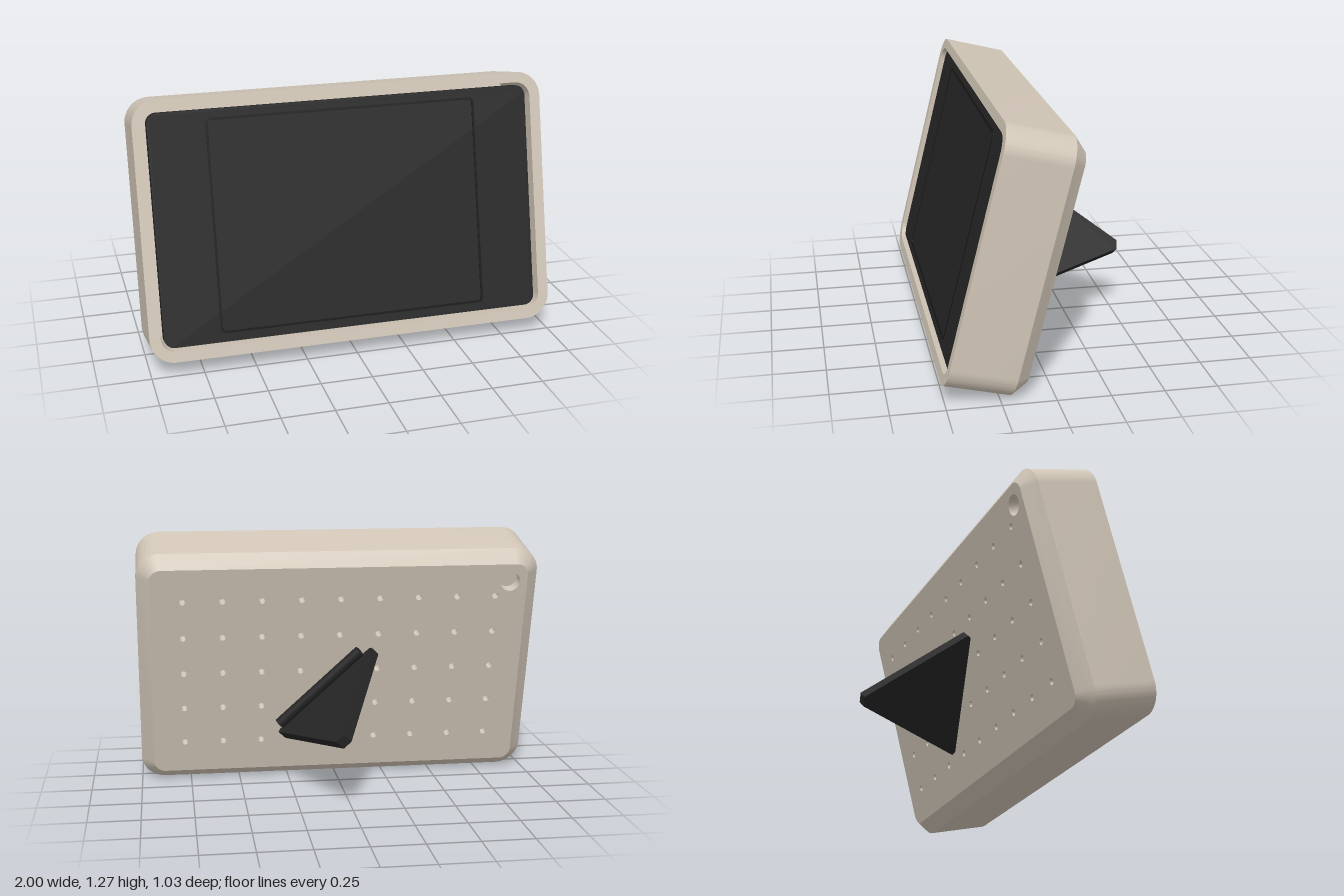
import * as THREE from 'three';
import { toCreasedNormals } from 'three/addons/utils/BufferGeometryUtils.js';

const W = 2, H = 1.23;        // outer width and height
const DEPTH = 0.314;          // straight part of the housing
const CHAMFER = 0.063;        // sloped edge at the back
const TILT = 0.242;           // lean-back angle

// Rounded rectangle, centred on x, spanning y0..y1
function roundRect(path, halfW, y0, y1, r) {
  path.moveTo(halfW, y0 + r);
  path.lineTo(halfW, y1 - r);
  path.absarc(halfW - r, y1 - r, r, 0, Math.PI / 2);
  path.absarc(-halfW + r, y1 - r, r, Math.PI / 2, Math.PI);
  path.absarc(-halfW + r, y0 + r, r, Math.PI, Math.PI * 1.5);
  path.absarc(halfW - r, y0 + r, r, Math.PI * 1.5, Math.PI * 2);
  path.closePath();
  return path;
}

// Extrude a shape from zBack forward
function slab(shape, depth, zBack, curveSegments = 12) {
  const g = new THREE.ExtrudeGeometry(shape, { depth, bevelEnabled: false, curveSegments });
  g.translate(0, 0, zBack);
  return toCreasedNormals(g, 0.5);
}

// Corner-matched outline used for the sloped back edge
function outline(inset, r, n = 12) {
  const pts = [];
  const hx = W / 2 - inset - r, hy = H / 2 - inset - r;
  [[1, 1], [-1, 1], [-1, -1], [1, -1]].forEach(([sx, sy], k) => {
    for (let i = 0; i <= n; i++) {
      const a = (k + i / n) * Math.PI / 2;
      pts.push([sx * hx + r * Math.cos(a), H / 2 + sy * hy + r * Math.sin(a)]);
    }
  });
  return pts;
}

function chamferGeometry() {
  const a = outline(0, 0.12), b = outline(CHAMFER, 0.057);
  const pos = [], idx = [], n = a.length;
  a.forEach((p, i) => pos.push(p[0], p[1], -DEPTH, b[i][0], b[i][1], -DEPTH - CHAMFER));
  for (let i = 0; i < n; i++) {
    const p = 2 * i, q = 2 * ((i + 1) % n);
    idx.push(p, p + 1, q, q, p + 1, q + 1);
  }
  const g = new THREE.BufferGeometry();
  g.setAttribute('position', new THREE.Float32BufferAttribute(pos, 3));
  g.setIndex(idx);
  return toCreasedNormals(g, 0.5);
}

export function createModel() {
  const mat = (name, color, side = THREE.FrontSide) => {
    const m = new THREE.MeshStandardMaterial({ color, side });
    m.name = name;
    return m;
  };
  const beige = mat('beige housing', 0xd0c5b6, THREE.DoubleSide);
  const dark = mat('dark panel', 0x252525);
  const black = mat('black groove', 0x151515);

  const model = new THREE.Group();
  model.name = 'tabletDisplay';
  const body = new THREE.Group();
  body.name = 'tiltedBody';
  body.position.set(0, 0.076, 0.51);
  body.rotation.x = -TILT;
  model.add(body);

  const add = (parent, name, geometry, material) => {
    const m = new THREE.Mesh(geometry, material);
    m.name = name;
    parent.add(m);
    return m;
  };

  // Housing frame with front opening
  const frame = roundRect(new THREE.Shape(), W / 2, 0, H, 0.12);
  frame.holes.push(roundRect(new THREE.Path(), 0.948, 0.05, H - 0.05, 0.075));
  add(body, 'housingFrame', slab(frame, DEPTH, -DEPTH), beige);
  add(body, 'backChamfer', chamferGeometry(), beige);

  // Back plate with vent grid and one larger corner hole
  const back = roundRect(new THREE.Shape(), W / 2 - CHAMFER, CHAMFER, H - CHAMFER, 0.057);
  const hole = (x, y, r) => back.holes.push(new THREE.Path().absarc(x, y, r, 0, Math.PI * 2, true));
  for (let row = 0; row < 5; row++)
    for (let col = 0; col < 9; col++)
      hole((col - 4) * 0.195, H / 2 + (row - 2) * 0.193, 0.016);
  hole(-0.85, 1.075, 0.05);
  add(body, 'backPlate', slab(back, CHAMFER, -DEPTH - CHAMFER, 8), beige);

  // Floor behind the vents
  const floor = new THREE.ShapeGeometry(roundRect(new THREE.Shape(), 0.96, 0.04, H - 0.04, 0.08));
  floor.translate(0, 0, -DEPTH + 0.005);
  add(body, 'innerFloor', floor, beige);

  // Recessed front panel and its fine rectangular groove
  const panel = roundRect(new THREE.Shape(), 0.93, 0.065, H - 0.065, 0.05);
  add(body, 'frontPanel', slab(panel, 0.05, -0.07), dark);
  const groove = roundRect(new THREE.Shape(), 0.66, 0.106, 1.124, 0.025);
  groove.holes.push(roundRect(new THREE.Path(), 0.649, 0.117, 1.113, 0.016));
  add(body, 'panelGroove', slab(groove, 0.003, -0.021), black);

  // Diagonal fold-out stand: hinge barrel and triangular foot
  const stand = new THREE.Group();
  stand.name = 'stand';
  stand.position.set(0.1, 0.53, -DEPTH - CHAMFER);
  stand.rotation.z = Math.PI / 4;
  body.add(stand);

  const hinge = add(stand, 'standHinge', new THREE.CylinderGeometry(0.028, 0.028, 0.56, 24), dark);
  hinge.position.z = -0.027;

  const foot = new THREE.Shape([[0.015, -0.305], [0.03, -0.318], [0.55, -0.005],
    [0.55, 0.045], [0.03, 0.335], [0.015, 0.322]].map(p => new THREE.Vector2(...p)));
  const footGeo = new THREE.ExtrudeGeometry(foot, { depth: 0.052, bevelEnabled: false });
  footGeo.rotateY(Math.PI / 2);
  footGeo.translate(-0.081, 0, 0);
  add(stand, 'standFoot', footGeo, dark);

  return model;
}
